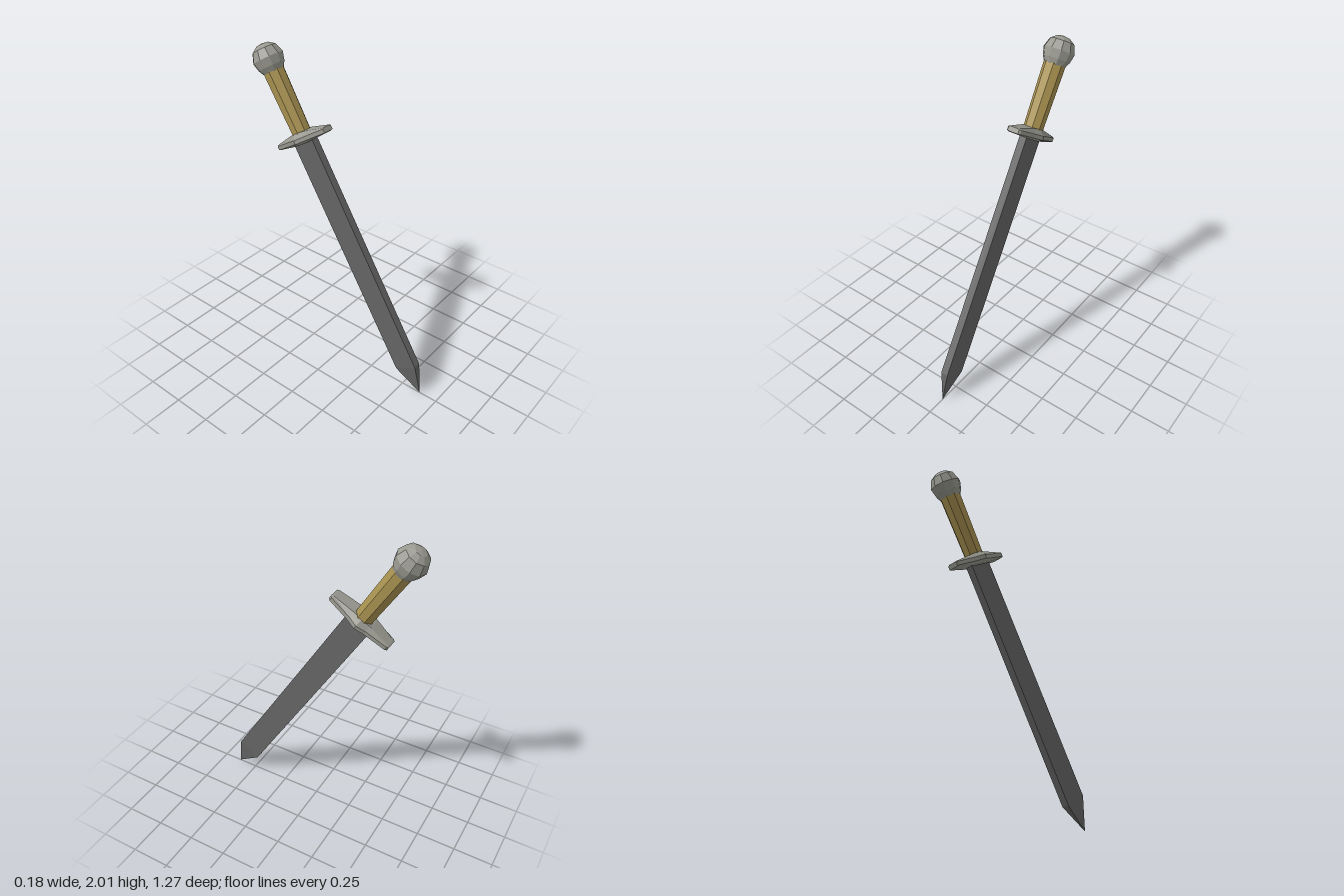
import * as THREE from 'three';

const material = (name, color) => {
  const m = new THREE.MeshStandardMaterial({ color, flatShading: true });
  m.name = name;
  return m;
};

// Join equal-length rings of [x, y, z], counter-clockwise seen from +z, and cap both ends
function loft(rings) {
  const n = rings[0].length, last = (rings.length - 1) * n, index = [];
  for (let r = 0; r < rings.length - 1; r++) {
    for (let j = 0; j < n; j++) {
      const a = r * n + j, b = r * n + (j + 1) % n;
      index.push(a, b, b + n, a, b + n, a + n);
    }
  }
  for (let j = 1; j < n - 1; j++) {
    index.push(0, j + 1, j, last, last + j, last + j + 1);
  }
  const g = new THREE.BufferGeometry();
  g.setAttribute('position', new THREE.Float32BufferAttribute(rings.flat(2), 3));
  g.setIndex(index);
  g.computeVertexNormals();
  return g;
}

export function createModel() {
  const bladeSteel = material('blade steel', 0x666666);
  const paleMetal = material('pale metal', 0x9a9a91);
  const gripTan = material('grip tan', 0xa89150);

  // The sword is built upright with its tip at the origin, then tilted
  const sword = new THREE.Group();
  sword.name = 'sword';
  const add = (name, geometry, mat, y = 0) => {
    const mesh = new THREE.Mesh(geometry, mat);
    mesh.name = name;
    mesh.position.y = y;
    sword.add(mesh);
  };

  // Blade: a flat bar with a four-sided point
  const tipLength = 0.194, bladeTop = 1.74, thick = 0.048, wide = 0.16;
  add('blade', new THREE.BoxGeometry(thick, bladeTop - tipLength, wide), bladeSteel, (bladeTop + tipLength) / 2);
  const tip = new THREE.ConeGeometry(Math.SQRT1_2, tipLength, 4, 1, true);
  tip.rotateY(Math.PI / 4).rotateX(Math.PI).scale(thick, 1, wide);
  add('bladeTip', tip, bladeSteel, tipLength / 2);

  // Crossguard: widest and thickest in the middle; rows are z, half width, bottom, top
  const half = [
    [0, 0.085, 1.722, 1.795],
    [0.06, 0.066, 1.723, 1.79],
    [0.2, 0.046, 1.733, 1.769],
    [0.211, 0.036, 1.737, 1.766],
  ];
  const stations = [...half.slice(1).reverse().map(([z, ...rest]) => [-z, ...rest]), ...half];
  add('crossguard', loft(stations.map(([z, w, low, high]) => [
    [w, 1.738, z], [w, 1.762, z], [w * 0.65, high, z], [-w * 0.65, high, z],
    [-w, 1.762, z], [-w, 1.738, z], [-w * 0.65, low, z], [w * 0.65, low, z],
  ])), paleMetal);

  // Grip: eight-sided, flaring slightly toward the pommel
  const grip = new THREE.CylinderGeometry(0.066, 0.059, 0.42, 8);
  grip.rotateY(Math.PI / 8);
  add('grip', grip, gripTan, 1.985);

  // Pommel: faceted ball
  const profile = [[0, 2.165], [0.062, 2.165], [0.082, 2.2], [0.095, 2.25], [0.074, 2.305], [0.038, 2.33], [0, 2.336]]
    .map(([r, y]) => new THREE.Vector2(r, y));
  add('pommel', new THREE.LatheGeometry(profile, 10), paleMetal);

  sword.rotation.x = THREE.MathUtils.degToRad(-31.5);
  sword.position.z = 0.63;

  const model = new THREE.Group();
  model.add(sword);
  return model;
}
